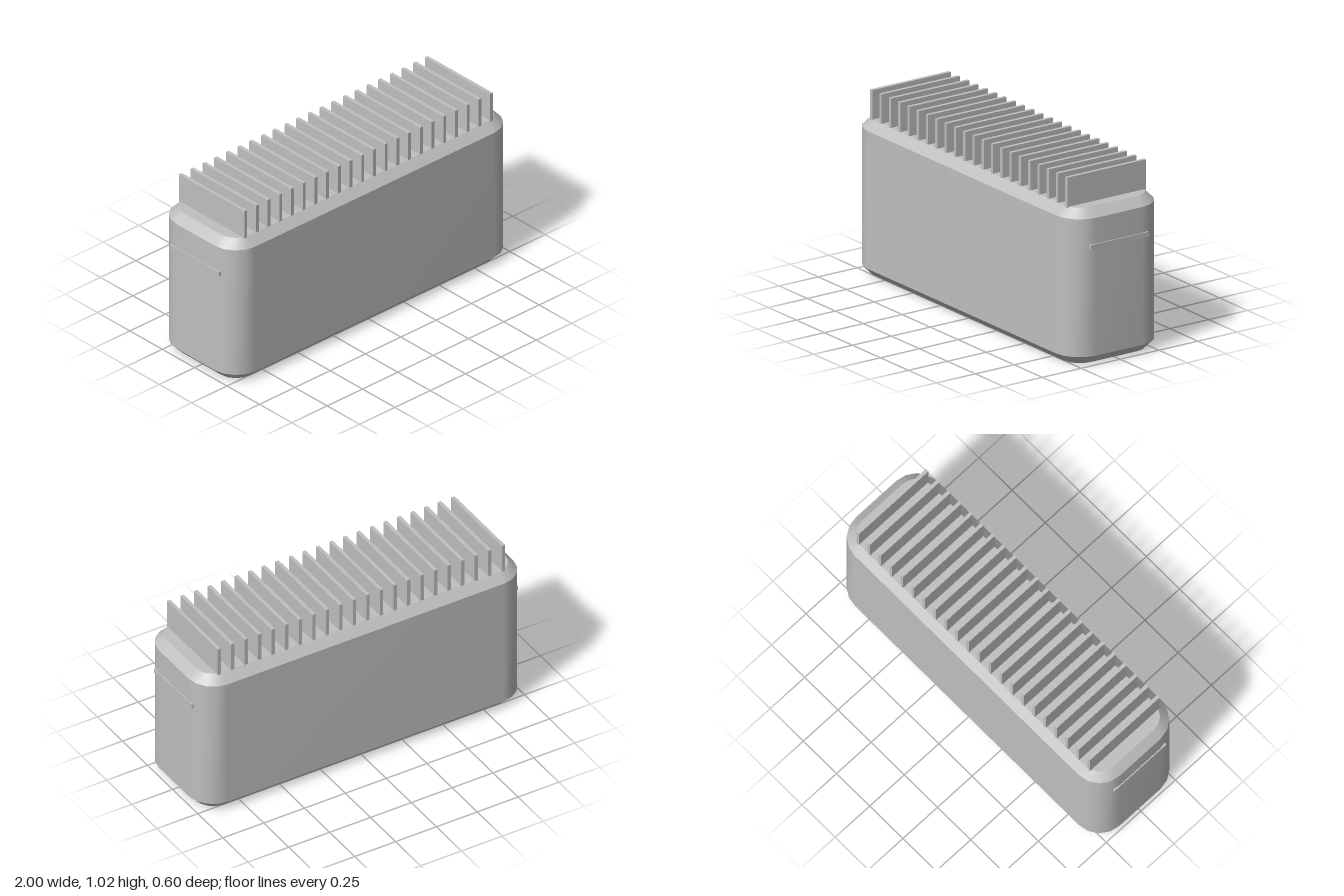
import * as THREE from 'three';

// Rounded-rectangle outline in the xz plane, counter-clockwise seen from above
function outline(halfX, halfZ, radius, segments = 4) {
  const pts = [];
  const corners = [[1, -1], [-1, -1], [-1, 1], [1, 1]];
  corners.forEach(([sx, sz], c) => {
    for (let i = 0; i <= segments; i++) {
      const a = (c + i / segments) * Math.PI / 2;
      pts.push([
        sx * (halfX - radius) + Math.cos(a) * radius,
        sz * (halfZ - radius) - Math.sin(a) * radius,
      ]);
    }
  });
  return pts;
}

// Smooth band joining two outlines at different heights
function band(lower, y0, upper, y1) {
  const n = lower.length, pos = [], idx = [];
  for (let i = 0; i < n; i++) {
    pos.push(lower[i][0], y0, lower[i][1], upper[i][0], y1, upper[i][1]);
    const a = 2 * i, b = 2 * ((i + 1) % n);
    idx.push(a, b, b + 1, a, b + 1, a + 1);
  }
  const g = new THREE.BufferGeometry();
  g.setAttribute('position', new THREE.Float32BufferAttribute(pos, 3));
  g.setIndex(idx);
  g.computeVertexNormals();
  return g;
}

// Flat cap filling an outline, facing up or down
function cap(pts, y, up) {
  const shape = new THREE.Shape(pts.map(([x, z]) => new THREE.Vector2(x, up ? -z : z)));
  const g = new THREE.ShapeGeometry(shape);
  g.rotateX(up ? -Math.PI / 2 : Math.PI / 2);
  g.translate(0, y, 0);
  return g;
}

export function createModel() {
  const model = new THREE.Group();
  const grey = new THREE.MeshStandardMaterial({ color: 0xbfbfbf });
  grey.name = 'light grey';

  const add = (name, geometry, parent = model) => {
    const mesh = new THREE.Mesh(geometry, grey);
    mesh.name = name;
    parent.add(mesh);
    return mesh;
  };

  // Chamfered housing
  const body = new THREE.Group();
  body.name = 'housing';
  model.add(body);
  const outer = outline(0.994, 0.298, 0.15);
  const inner = outline(0.946, 0.25, 0.102);
  add('bottom', cap(inner, 0, false), body);
  add('lowerChamfer', band(inner, 0, outer, 0.048), body);
  add('wall', band(outer, 0.048, outer, 0.808), body);
  add('upperChamfer', band(outer, 0.808, inner, 0.856), body);
  add('top', cap(inner, 0.856, true), body);

  // Row of upright cooling fins
  const fins = new THREE.Group();
  fins.name = 'coolingFins';
  model.add(fins);
  const count = 22;
  const finGeometry = new THREE.BoxGeometry(0.02, 0.168, 0.504);
  for (let i = 0; i < count; i++) {
    add('fin', finGeometry, fins).position.set(-0.87 + 1.74 * i / (count - 1), 0.934, 0);
  }

  // Narrow grip strip on each end
  const gripGeometry = new THREE.BoxGeometry(0.014, 0.026, 0.374);
  for (const side of [-1, 1]) {
    add(side > 0 ? 'leftGrip' : 'rightGrip', gripGeometry).position.set(side * 0.993, 0.653, 0);
  }

  return model;
}
